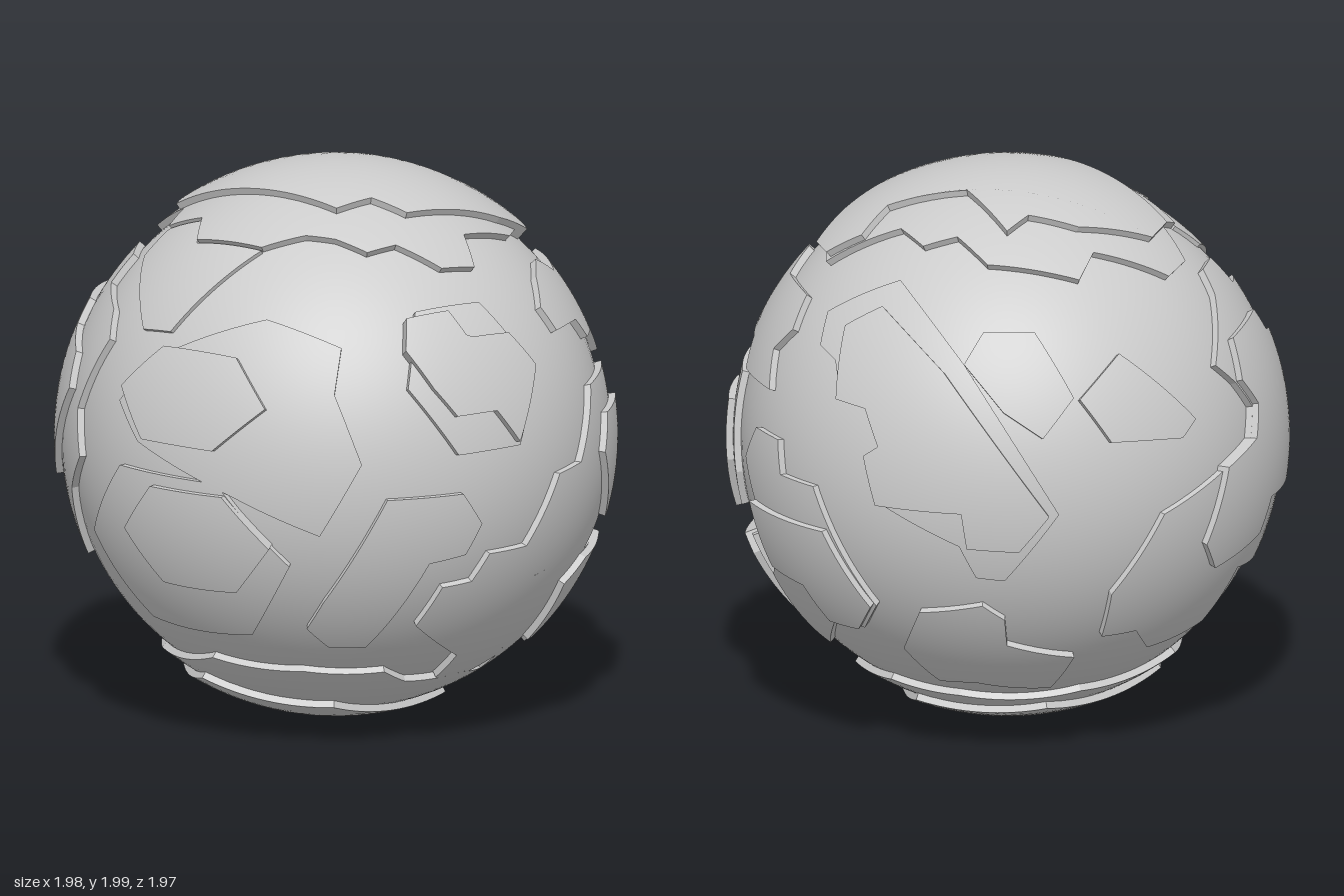
import * as THREE from 'three';

// Radii of the core and of the plate levels.
const CORE = 0.945, THIN = 0.96, LOWER = 0.97, UPPER = 0.995, DETAIL = 4;

// Facing directions for plate outlines: [azimuth, elevation] in degrees.
const FACING = {
  front: [0, 0], right: [90, 0], left: [270, 0], top: [0, 90], bottom: [0, -90],
  frontCorner: [35, 25], backCorner: [215, 30], lowCorner: [140, -30],
};

// Six-sided outline around a centre, with half width w and half height h.
function hexagon(u, v, w, h) {
  return [1, 0.5, -0.5, -1, -0.5, 0.5].flatMap((k, i) => [u + w * k, v + (i % 3 === 0 ? 0 : i < 3 ? h : -h)]);
}

// Lift a flat point onto the unit sphere as seen from a facing direction.
function lift(u, v, r, [azimuth, elevation]) {
  const turn = new THREE.Euler(-THREE.MathUtils.degToRad(elevation), THREE.MathUtils.degToRad(azimuth), 0, 'YXZ');
  const depth = Math.sqrt(Math.max(r * r - u * u - v * v, 0));
  return new THREE.Vector3(u, v, depth).applyEuler(turn).normalize();
}

const middle = (a, b) => a.clone().add(b).normalize();

// A raised plate: curved cap with radial normals and straight walls sunk into the core.
function plateGeometry(facing, r, outline) {
  const inner = CORE - 0.015;
  const flat = [];
  for (let i = 0; i < outline.length; i += 2) flat.push(new THREE.Vector2(outline[i] / 100, outline[i + 1] / 100));
  if (THREE.ShapeUtils.isClockWise(flat)) flat.reverse();
  const rim = flat.map((p) => lift(p.x, p.y, r, FACING[facing]));
  const pos = [], nor = [];
  const put = (p, radius, n) => {
    pos.push(p.x * radius, p.y * radius, p.z * radius);
    nor.push(n.x, n.y, n.z);
  };

  const cap = (a, b, c, level) => {
    if (level === 0) return [a, b, c].forEach((p) => put(p, r, p));
    const ab = middle(a, b), bc = middle(b, c), ca = middle(c, a);
    [[a, ab, ca], [ab, b, bc], [ca, bc, c], [ab, bc, ca]].forEach((t) => cap(...t, level - 1));
  };
  THREE.ShapeUtils.triangulateShape(flat, []).forEach(([a, b, c]) => cap(rim[a], rim[b], rim[c], DETAIL));

  const wall = (a, b, level) => {
    if (level > 0) {
      const m = middle(a, b);
      wall(a, m, level - 1);
      wall(m, b, level - 1);
      return;
    }
    const n = b.clone().sub(a).cross(a).normalize();
    [[a, inner], [b, inner], [b, r], [a, inner], [b, r], [a, r]].forEach(([p, radius]) => put(p, radius, n));
  };
  rim.forEach((p, i) => wall(p, rim[(i + 1) % rim.length], DETAIL));

  const geometry = new THREE.BufferGeometry();
  geometry.setAttribute('position', new THREE.Float32BufferAttribute(pos, 3));
  geometry.setAttribute('normal', new THREE.Float32BufferAttribute(nor, 3));
  return geometry;
}

export function createModel() {
  const model = new THREE.Group();
  model.name = 'platedSphere';
  const material = new THREE.MeshStandardMaterial({ color: 0xcccccc });
  const add = (name, geometry) => {
    const mesh = new THREE.Mesh(geometry, material);
    mesh.name = name;
    mesh.position.y = 1;
    model.add(mesh);
  };
  // Outlines are u, v pairs in hundredths from the sphere's centre.
  const plate = (name, facing, radius, outline) => add(name, plateGeometry(facing, radius, outline));

  add('core', new THREE.SphereGeometry(CORE, 96, 64));

  // Front
  plate('frontHexPlate', 'front', LOWER, hexagon(-14, 38, 26, 24));
  plate('frontHexCap', 'front', UPPER, [-33, 38, -38, 51, -33, 61, -17, 62, -14, 53, 4, 52, 12, 40, -3, 16, -11, 28, -27, 28]);
  plate('frontSidePlate', 'front', LOWER, [-64, -39, -52, 0, -26, 0, -18, -12, -23, -23, -36, -25, -45, -58, -55, -58, -64, -50]);
  plate('frontLowerPlate', 'front', LOWER, [-33, -50, -29, -35, -18, -34, -13, -24, 4, -24, 7, -38, 20, -36, 27, -50,
    20, -72, 5, -79, -8, -76, -8, -66]);
  plate('frontSteppedPlate', 'front', LOWER, [4, -24, 19, 0, 33, 1, 47, 25, 73, 25, 78, -11, 74, -24, 60, -27, 27, -50, 20, -36, 7, -38]);
  plate('frontSteppedCap', 'front', UPPER, [49, 1, 54, 14, 75, 14, 77, -8, 70, -27, 59, -26]);
  plate('frontCornerPlate', 'front', LOWER, [27, -50, 49, -36, 70, -36, 59, -59, 33, -83, 32, -79, 20, -79, 18, -65]);
  plate('frontCornerCap', 'front', UPPER, [33, -45, 46, -38, 70, -36, 69, -43, 45, -74, 43, -68, 31, -68]);

  // Left side
  plate('upperSidePlate', 'frontCorner', LOWER, [-19, 17, -7, 26, 5, 30, 17, 22, 43, 28, 51, 17, 48, 6, 57, -5, 31, -12,
    23, -3, 8, -3, 3, 5, -18, 7]);
  plate('middleSidePlate', 'right', LOWER,
    [-40, 1, -32, 14, -16, 14, -13, 2, 5, 2, 25, -40, 15, -51, 1, -51, -18, -67, -31, -63, -36, -44, -26, -35, -33, -13]);
  plate('middleSideCap', 'right', UPPER, [-33, -13, 11, -13, 25, -40, 15, -51, 1, -51, -6, -38, -25, -36]);
  const rearSteps = [34, 1, 28, 18, 33, 22, 25, 34, 12, 35];
  plate('rearSidePlate', 'right', LOWER, [...rearSteps, 4, 46, -6, 49, -10, 59, 13, 73, 50, 51, 83, 0, 69, -25, 62, -24, 59, -12]);
  plate('rearSideCap', 'right', UPPER, [...rearSteps, 4, 58, 15, 66, 47, 49, 83, 0, 76, -13, 63, -12, 62, 1]);
  plate('rearSmallPlate', 'right', LOWER, [50, 51, 50, 61, 62, 61, 79, 40, 77, 27, 66, 36]);
  plate('lowerSidePlate', 'lowCorner', LOWER, [-39, -16, -34, 6, -12, 14, -4, 8, -3, -5, 21, -15, 13, -35, -14, -30, -26, -33]);

  // Back
  const backNotch = [-24, -37, -18, -27, -24, -16];
  plate('backPlate', 'backCorner', LOWER, [...backNotch, -31, -6, -7, 13, -1, 22, 15, 22, 19, 10, 40, 9, 50, 2, 47, -27,
    53, -40, 42, -55, 31, -76, -19, -76, -22, -87, -45, -83, -57, -74, -66, -69, -73, -56, -65, -40]);
  plate('backCap', 'backCorner', UPPER, [...backNotch,
    -18, -2, 13, -1, 17, -10, 36, -13, 42, -24, 38, -33, 22, -60, -11, -60, -16, -69, -42, -69, -50, -59, -42, -39]);
  plate('backHexPlate', 'backCorner', LOWER, [-77, 12, -61, 18, -49, -17, -56, -20, -76, -7]);

  // Right side
  plate('upperFlankPlate', 'left', LOWER, [36, 60, 61, 52, 65, 37, 76, 13, 66, -13, 40, 0, 0, 14, -13, 26, 0, 43]);
  plate('upperFlankCap', 'left', UPPER, hexagon(19, 32, 30, 16));
  plate('lowerFlankPlate', 'left', LOWER, hexagon(13, -25, 43, 29));
  plate('lowerFlankCap', 'left', UPPER, hexagon(24, -18, 29, 18));

  // Top
  const topNotch = [-46, 37, -46, 20, -56, 12, -52, -17];
  plate('topSidePlate', 'top', THIN, [...topNotch, -81, -1, -81, 13, -56, 39]);
  plate('topPlate', 'top', LOWER, [...topNotch, -40, -27, -34, -36, -29, -47, -18, -50, -8, -63, 6, -65, 12, -53, 38, -49,
    61, -28, 47, -4, 50, 11, 41, 19, 42, 36, 19, 59, 7, 53, -18, 65, -32, 58, -35, 41]);
  plate('topCap', 'top', UPPER, [-35, 45, -20, 54, 7, 45, 19, 32, 30, 33, 24, 5, 41, -18, 55, -16, 61, -28, 54, -41,
    37, -45, -6, -43, -12, -31, -26, -28, -34, 19]);

  // Bottom
  plate('bottomPlate', 'bottom', LOWER, [-69, 10, -54, 41, -32, 59, -20, 57, 5, 60, 32, 46, 34, 34, 50, 25, 58, -3, 47, -27,
    14, -54, -29, -56, -54, -32]);
  plate('bottomCap', 'bottom', UPPER, hexagon(-6, -5, 54, 39));
  return model;
}
